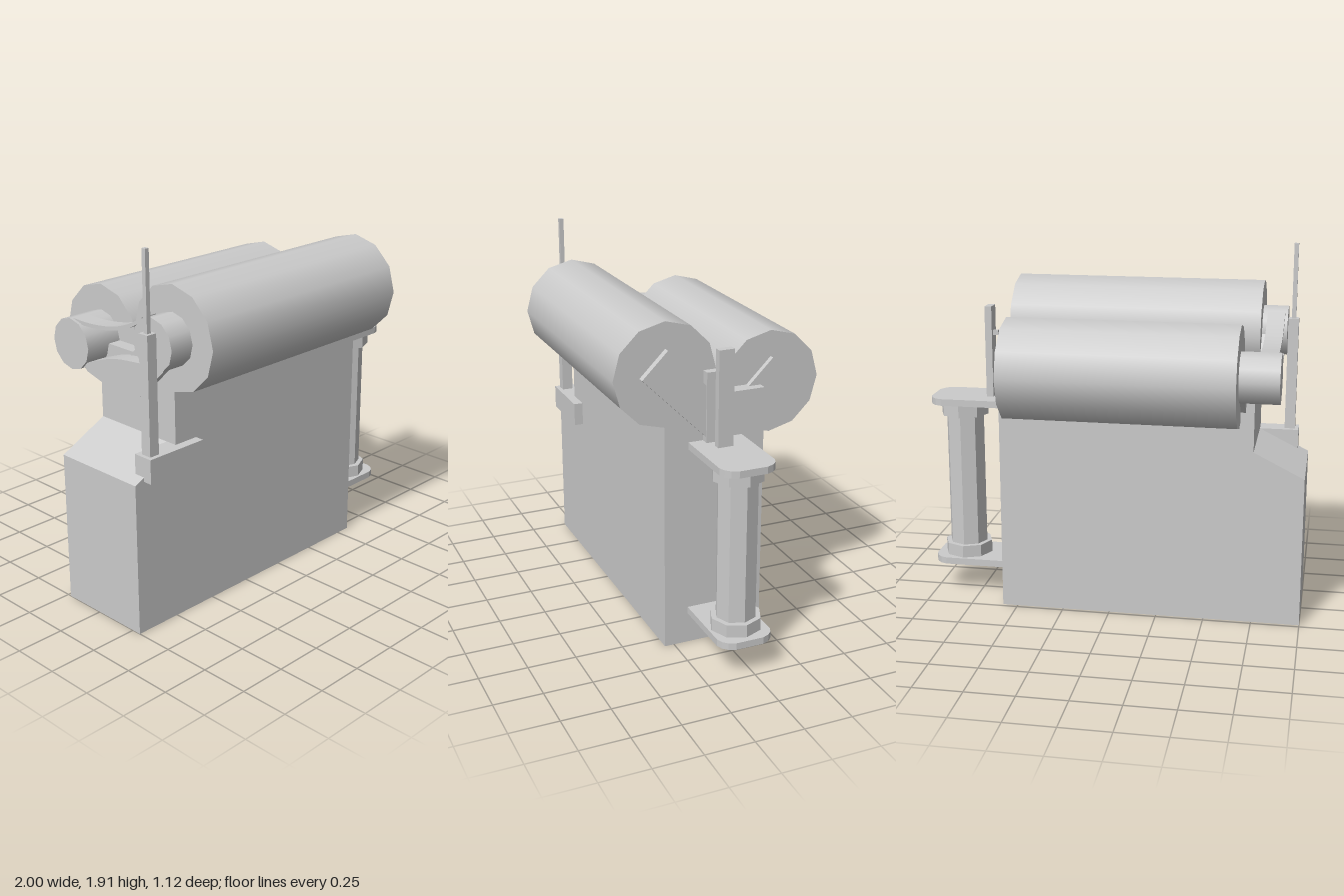
import * as THREE from 'three';

const material = new THREE.MeshStandardMaterial({ color: 0xcccccc });
const flat = new THREE.MeshStandardMaterial({ color: 0xcccccc, flatShading: true });

export function createModel() {
  const model = new THREE.Group();

  const add = (name, geometry, mat = material) => {
    const mesh = new THREE.Mesh(geometry, mat);
    mesh.name = name;
    model.add(mesh);
    return mesh;
  };
  // Box given by its limits on each axis
  const box = (name, x0, x1, y0, y1, z0, z1) => {
    const mesh = add(name, new THREE.BoxGeometry(x1 - x0, y1 - y0, z1 - z0));
    mesh.position.set((x0 + x1) / 2, (y0 + y1) / 2, (z0 + z1) / 2);
    return mesh;
  };
  // Twelve-sided cylinder lying along x
  const roller = (name, x0, x1, y, z, r) => {
    const mesh = add(name, new THREE.CylinderGeometry(r, r, x1 - x0, 12));
    mesh.rotation.z = Math.PI / 2;
    mesh.position.set((x0 + x1) / 2, y, z);
  };
  const polygon = (points) => new THREE.Shape(points.map(([a, b]) => new THREE.Vector2(a, b)));

  // Cabinet with a notched, sloping shoulder
  const cabinet = polygon([[-1, 0], [0.58, 0], [0.58, 1.32], [-0.74, 1.32], [-0.74, 0.92], [-1, 0.79]]);
  add('cabinet', new THREE.ExtrudeGeometry(cabinet, { depth: 0.53, bevelEnabled: false })).position.z = -0.23;

  // Two drums, each with a drive pulley and a slanted support bar
  const drums = [
    { side: 'front', x0: -0.74, x1: 0.58, y: 1.45, z: 0.295, s: 1, over: 0.035 },
    { side: 'back', x0: -0.67, x1: 0.51, y: 1.32, z: -0.295, s: -1, over: 0.027 },
  ];
  for (const { side, x0, x1, y, z, s, over } of drums) {
    roller(side + 'Drum', x0, x1, y, z, 0.263);
    roller(side + 'Pulley', -0.87, x0 + 0.01, y, z, 0.131);
    const bar = box(side + 'SupportBar', x0 - over, x1 + over, y - 0.192, y - 0.008, z - 0.33, z + 0.137);
    bar.position.set((x0 + x1) / 2, y - 0.1, z - s * 0.1);
    bar.rotation.x = -s * Math.PI / 4;
  }

  // Sagging belt runs between the pulleys, as (z, y) curves
  const runs = {
    upperBelt: [[-0.29, 1.44], [-0.15, 1.44], [0, 1.46], [0.12, 1.5], [0.21, 1.55]],
    lowerBelt: [[-0.27, 1.2], [-0.15, 1.25], [0, 1.3], [0.15, 1.32], [0.29, 1.33]],
  };
  for (const [name, points] of Object.entries(runs)) {
    const curve = new THREE.SplineCurve(points.map(([z, y]) => new THREE.Vector2(-z, y)));
    const line = curve.getPoints(12);
    const strip = new THREE.Shape([
      ...line.map((p) => new THREE.Vector2(p.x, p.y + 0.01)),
      ...line.reverse().map((p) => new THREE.Vector2(p.x, p.y - 0.01)),
    ]);
    const belt = add(name, new THREE.ExtrudeGeometry(strip, { depth: 0.09, bevelEnabled: false }));
    belt.rotation.y = Math.PI / 2;
    belt.position.x = -0.855;
  }

  // Upright rod on its side bracket
  box('rodBracket', -0.945, -0.605, 0.795, 0.92, 0.24, 0.348);
  box('rodHolder', -0.925, -0.87, 0.92, 1.515, 0.267, 0.325);
  box('rod', -0.91, -0.887, 1.515, 1.91, 0.285, 0.308);

  // End tower: octagonal column between two rounded shelves
  const shelf = new THREE.Shape();
  shelf.moveTo(0.57, -0.175);
  shelf.lineTo(0.93, -0.175);
  shelf.quadraticCurveTo(0.985, -0.165, 1, -0.105);
  shelf.lineTo(1, 0.04);
  shelf.quadraticCurveTo(0.985, 0.1, 0.93, 0.11);
  shelf.lineTo(0.57, 0.11);
  const octagon = (name, r, y0, y1) => {
    add(name, new THREE.CylinderGeometry(r, r, y1 - y0, 8), flat).position.set(0.838, (y0 + y1) / 2, 0.033);
  };
  for (const [name, y] of [['lowerShelf', 0.163], ['upperShelf', 1.058]]) {
    const mesh = add(name, new THREE.ExtrudeGeometry(shelf, { depth: 0.036, bevelEnabled: false, curveSegments: 3 }));
    mesh.rotation.x = -Math.PI / 2;
    mesh.position.y = y;
  }
  octagon('column', 0.103, 0.26, 0.995);
  octagon('lowerCollar', 0.13, 0.199, 0.265);
  octagon('upperCollar', 0.13, 0.99, 1.058);

  // Latch posts on the upper shelf
  box('innerPost', 0.58, 0.623, 1.09, 1.45, -0.033, 0.098);
  box('outerPost', 0.668, 0.705, 1.09, 1.58, -0.005, 0.075);
  box('latchPin', 0.642, 0.67, 1.425, 1.45, 0.02, 0.045);

  return model;
}
